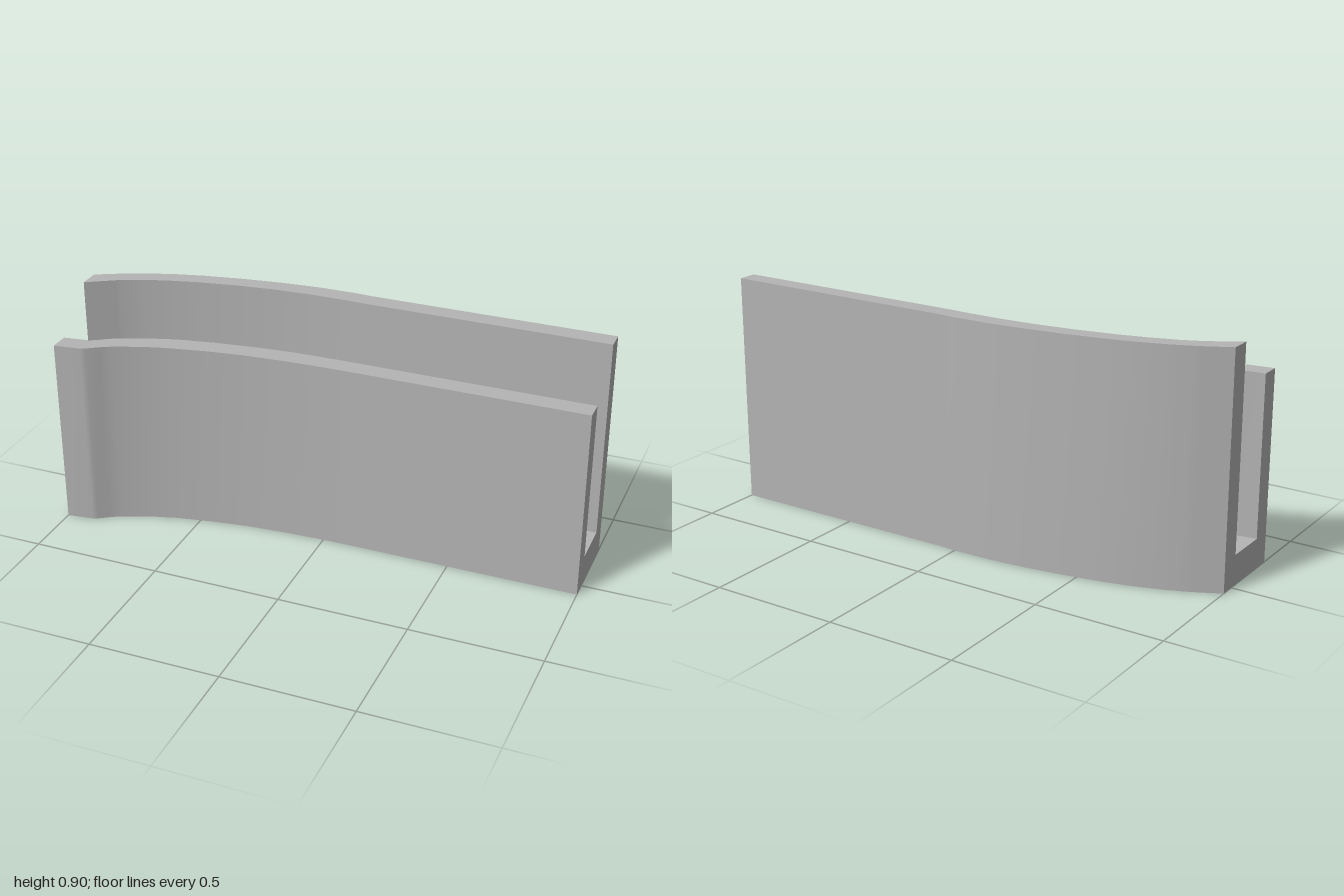
import * as THREE from 'three';

const FLOOR = 0.118, FRONT_TOP = 0.74, BACK_TOP = 0.897;

// Plan stations: x, then z of front outer, front inner, back inner, back outer
const stations = [
  [-1, 0.271, 0.195, 0.023, -0.058],
  [-0.9, 0.257, 0.181, -0.038, -0.109],
  [-0.88, 0.25, 0.171, -0.049, -0.118],
  [-0.84, 0.222, 0.143, -0.067, -0.134],
  [-0.8, 0.2, 0.121, -0.084, -0.15],
  [-0.7, 0.16, 0.082, -0.115, -0.182],
  [-0.6, 0.131, 0.051, -0.14, -0.207],
  [-0.45, 0.101, 0.022, -0.168, -0.235],
  [-0.3, 0.08, 0.002, -0.187, -0.256],
  [-0.15, 0.069, -0.011, -0.196, -0.269],
  [0, 0.063, -0.015, -0.196, -0.271],
  [0.06, 0.062, -0.015, -0.193, -0.267],
  [1, 0.062, -0.015, -0.193, -0.267],
];

// U-shaped cross-section at one station
function section([x, fo, fi, bi, bo]) {
  return [
    [x, 0, fo], [x, FRONT_TOP, fo], [x, FRONT_TOP, fi], [x, FLOOR, fi],
    [x, FLOOR, bi], [x, BACK_TOP, bi], [x, BACK_TOP, bo], [x, 0, bo],
  ];
}

function makeGeometry(points, index) {
  const geometry = new THREE.BufferGeometry();
  geometry.setAttribute('position', new THREE.Float32BufferAttribute(points.flat(), 3));
  geometry.setIndex(index);
  geometry.computeVertexNormals();
  return geometry;
}

export function createModel() {
  const group = new THREE.Group();
  const grey = new THREE.MeshStandardMaterial({ color: 0xb4b4b4 });
  grey.name = 'plain grey';
  const sections = stations.map(section);

  const add = (name, points, index) => {
    const mesh = new THREE.Mesh(makeGeometry(points, index), grey);
    mesh.name = name;
    group.add(mesh);
  };

  // Long surfaces: one strip per profile edge, smooth along the curve
  const strips = ['frontWallOutside', 'frontWallTop', 'frontWallInside', 'channelFloor',
    'backWallInside', 'backWallTop', 'backWallOutside', 'underside'];
  strips.forEach((name, edge) => {
    const points = [], index = [];
    sections.forEach((s, i) => {
      points.push(s[edge], s[(edge + 1) % 8]);
      if (i === 0) return;
      const a = 2 * i - 2;
      index.push(a, a + 2, a + 3, a, a + 3, a + 1);
    });
    add(name, points, index);
  });

  // U-shaped ends
  const quads = [[0, 1, 2, 3], [0, 3, 4, 7], [4, 5, 6, 7]];
  const faces = quads.flatMap(([a, b, c, d]) => [a, b, c, a, c, d]);
  add('rightEnd', sections[0], faces);
  add('leftEnd', sections[sections.length - 1], [...faces].reverse());

  return group;
}
